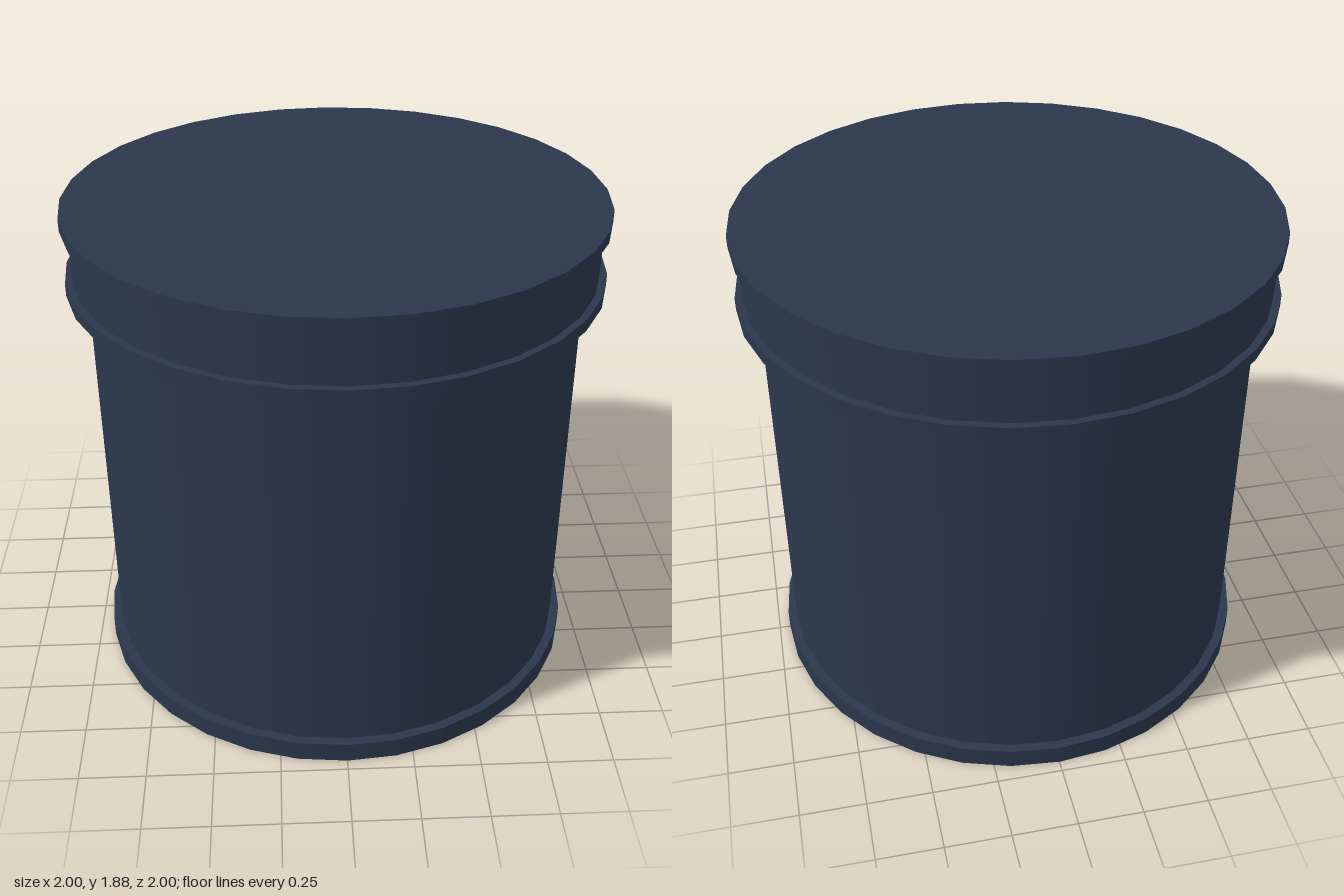
import * as THREE from 'three';

const SIDES = 32;

export function createModel() {
  const group = new THREE.Group();
  group.name = 'canister';
  const material = new THREE.MeshStandardMaterial({ color: 0x2b374d });

  // Closed upright cylinder between two heights
  function drum(name, radius, bottom, top) {
    const geometry = new THREE.CylinderGeometry(radius, radius, top - bottom, SIDES);
    const mesh = new THREE.Mesh(geometry, material);
    mesh.name = name;
    mesh.position.y = (bottom + top) / 2;
    group.add(mesh);
  }

  // Foot and main body
  drum('baseRing', 0.957, 0, 0.08);
  drum('body', 0.922, 0.08, 1.585);

  // Lid: lower rim, band and top rim
  drum('lidLowerRim', 1, 1.585, 1.63);
  drum('lidBand', 0.973, 1.63, 1.835);
  drum('lidTopRim', 1, 1.835, 1.88);

  return group;
}
